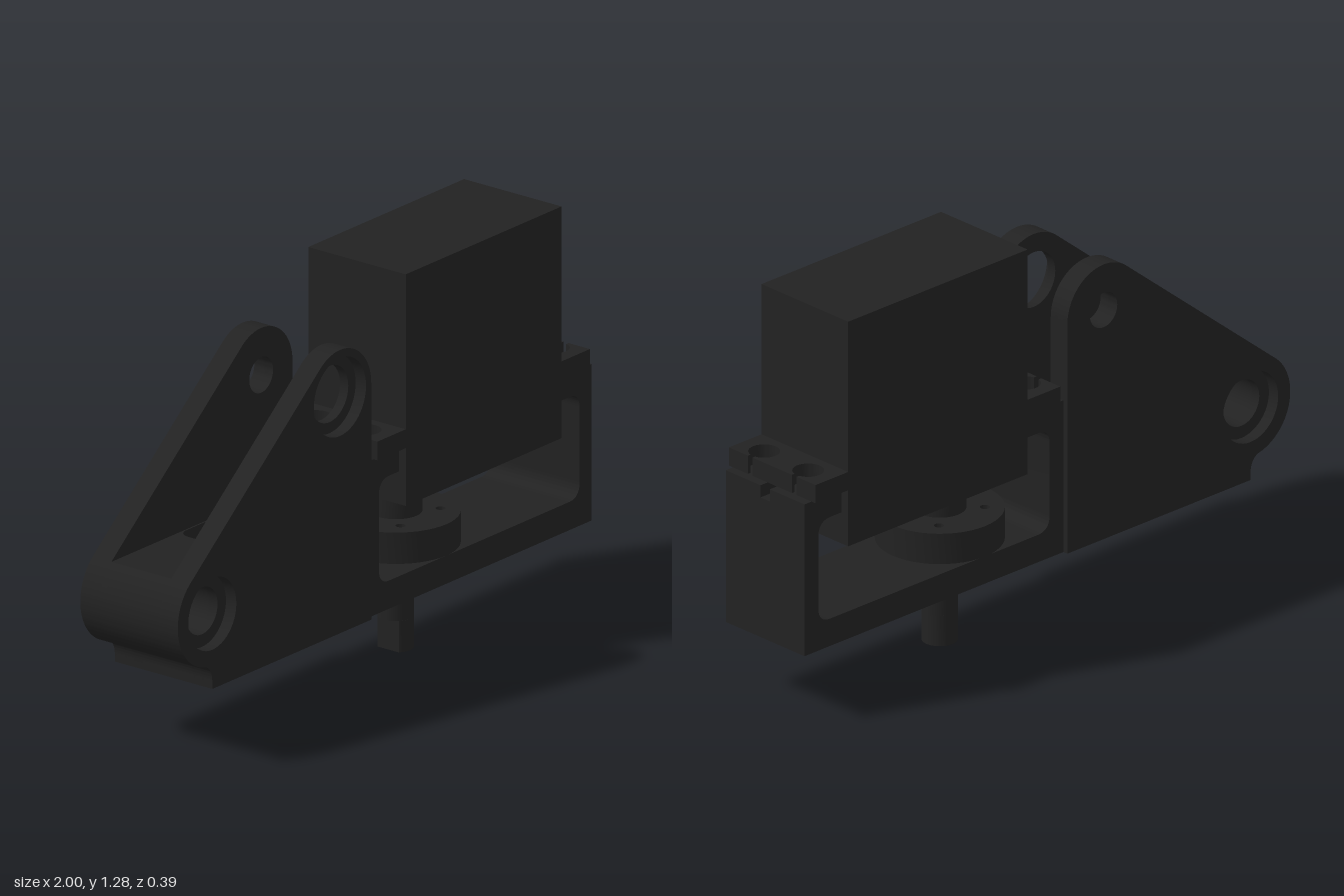
import * as THREE from 'three';
import { toCreasedNormals } from 'three/addons/utils/BufferGeometryUtils.js';

const material = new THREE.MeshStandardMaterial({ color: 0x222222 });

function add(parent, name, geometry) {
  const mesh = new THREE.Mesh(toCreasedNormals(geometry, 0.5), material);
  mesh.name = name;
  parent.add(mesh);
  return mesh;
}

// Extrusion of an x-y shape from z0 to z1
function alongZ(shape, z0, z1) {
  return new THREE.ExtrudeGeometry(shape, { depth: z1 - z0, bevelEnabled: false, curveSegments: 24 })
    .translate(0, 0, z0);
}

// Extrusion of a plan shape (x, -z) from y0 to y1
function alongY(shape, y0, y1) {
  return new THREE.ExtrudeGeometry(shape, { depth: y1 - y0, bevelEnabled: false, curveSegments: 24 })
    .rotateX(-Math.PI / 2).translate(0, y0, 0);
}

function box(x0, x1, y0, y1, z0, z1) {
  return new THREE.BoxGeometry(x1 - x0, y1 - y0, z1 - z0)
    .translate((x0 + x1) / 2, (y0 + y1) / 2, (z0 + z1) / 2);
}

function rect(x0, x1, y0, y1) {
  return new THREE.Shape([[x0, y0], [x1, y0], [x1, y1], [x0, y1]].map(p => new THREE.Vector2(...p)));
}

function roundedPath(x0, x1, y0, y1, r) {
  return new THREE.Path()
    .absarc(x1 - r, y1 - r, r, 0, Math.PI / 2)
    .absarc(x0 + r, y1 - r, r, Math.PI / 2, Math.PI)
    .absarc(x0 + r, y0 + r, r, Math.PI, Math.PI * 1.5)
    .absarc(x1 - r, y0 + r, r, Math.PI * 1.5, Math.PI * 2);
}

function hole(shape, x, y, r) {
  shape.holes.push(new THREE.Path().absarc(x, y, r, 0, Math.PI * 2));
  return shape;
}

const LOW = [-0.835, 0.47], HIGH = [-0.225, 0.985];
const TANGENT = 2.27, TAIL = 4.43;

// Lower boss arc and the small concave foot below it
function finishBoss(shape) {
  shape.absarc(...LOW, 0.165, TANGENT, TAIL);
  shape.quadraticCurveTo(-0.835, 0.305, -0.835, 0.25);
  shape.lineTo(-0.835, 0.23);
  return shape;
}

function plateShape(lowRadius, highRadius) {
  const s = new THREE.Shape();
  s.moveTo(-0.835, 0.23);
  s.lineTo(-0.075, 0.23);
  s.lineTo(-0.075, 0.985);
  s.absarc(...HIGH, 0.15, 0, TANGENT);
  finishBoss(s);
  hole(s, ...LOW, lowRadius);
  return hole(s, ...HIGH, highRadius);
}

function createBracket() {
  const g = new THREE.Group();
  g.name = 'bracket';
  // Two cheek plates, each in two layers for the counterbores
  add(g, 'frontPlateInner', alongZ(plateShape(0.075, 0.09), 0.115, 0.147));
  add(g, 'frontPlateOuter', alongZ(plateShape(0.115, 0.125), 0.147, 0.187));
  add(g, 'backPlateInner', alongZ(plateShape(0.075, 0.057), -0.147, -0.115));
  add(g, 'backPlateOuter', alongZ(plateShape(0.115, 0.057), -0.187, -0.147));
  // Solid boss between the plates
  const boss = new THREE.Shape();
  boss.moveTo(-0.835, 0.23);
  boss.lineTo(-0.66, 0.23);
  boss.lineTo(-0.66, 0.596);
  finishBoss(boss);
  add(g, 'bossCore', alongZ(hole(boss, ...LOW, 0.075), -0.115, 0.115));
  // Core floor with its pocket, and a screw hole underneath
  add(g, 'coreBase', alongY(hole(rect(-0.66, -0.075, -0.115, 0.115), -0.32, 0, 0.025), 0.23, 0.33));
  const upper = rect(-0.66, -0.075, -0.115, 0.115);
  upper.holes.push(roundedPath(-0.63, -0.445, -0.11, 0.11, 0.04));
  add(g, 'corePocket', alongY(upper, 0.33, 0.596));
  return g;
}

function createFrame() {
  const g = new THREE.Group();
  g.name = 'motorFrame';
  const c = 0.4625, h = 0.5375, w = 0.17;
  add(g, 'frameBase', alongY(hole(rect(c - h, c + h, -w, w), 0.275, 0, 0.075), 0.23, 0.32));
  for (const side of [-1, 1]) {
    const X = d => c + side * d;
    // End wall with filleted window corners and an inward lip
    const s = new THREE.Shape();
    s.moveTo(X(h), 0.32);
    s.lineTo(X(h), 0.69);
    s.lineTo(X(0.383), 0.69);
    s.lineTo(X(0.383), 0.655);
    s.lineTo(X(0.43), 0.655);
    s.quadraticCurveTo(X(0.48), 0.655, X(0.48), 0.605);
    s.lineTo(X(0.48), 0.37);
    s.quadraticCurveTo(X(0.48), 0.32, X(0.43), 0.32);
    add(g, 'endWall', alongZ(s, -w, w));
    // Lip tops, split by a central groove
    const xs = [X(0.383), X(h)].sort((a, b) => a - b);
    for (const z of [-1, 1]) {
      const zs = [z * 0.02, z * w].sort((a, b) => a - b);
      add(g, 'lipTop', alongY(hole(rect(...xs, ...zs), X(0.45), z * 0.095, 0.025), 0.69, 0.73));
    }
  }
  return g;
}

function createMotor() {
  const g = new THREE.Group();
  g.name = 'motor';
  add(g, 'motorBody', box(0.09, 0.835, 0.545, 1.285, -0.187, 0.187));
  for (const side of [-1, 1]) {
    const X = d => 0.4625 + side * d;
    // Mounting ear with two keyhole slots open to the outer edge
    const s = new THREE.Shape();
    s.moveTo(X(0.372), -0.187);
    s.lineTo(X(0.508), -0.187);
    for (const z of [-0.095, 0.095]) {
      s.lineTo(X(0.508), z - 0.01);
      for (let i = 0; i <= 32; i++) {
        const a = -0.2 - i / 32 * (Math.PI * 2 - 0.4);
        s.lineTo(X(0.45 + 0.048 * Math.cos(a)), z + 0.048 * Math.sin(a));
      }
      s.lineTo(X(0.508), z + 0.01);
    }
    s.lineTo(X(0.508), 0.187);
    s.lineTo(X(0.372), 0.187);
    add(g, 'mountingEar', alongY(s, 0.73, 0.79));
  }
  return g;
}

function createShaft() {
  const g = new THREE.Group();
  g.name = 'driveShaft';
  const rod = (name, r0, r1, y0, y1) =>
    add(g, name, new THREE.CylinderGeometry(r1, r0, y1 - y0, 40).translate(0, (y0 + y1) / 2, 0));
  rod('shaft', 0.055, 0.055, 0.1, 0.55);
  rod('collar', 0.08, 0.08, 0.435, 0.495);
  rod('lowerCollar', 0.075, 0.075, 0.315, 0.335);
  // Horn disc with four small screw holes
  const disc = new THREE.Shape().absarc(0, 0, 0.195, 0, Math.PI * 2);
  for (let i = 0; i < 4; i++) {
    const a = Math.PI / 4 + i * Math.PI / 2;
    hole(disc, 0.135 * Math.cos(a), 0.135 * Math.sin(a), 0.015);
  }
  add(g, 'hornDisc', alongY(disc, 0.335, 0.435));
  // Flattened shaft tip
  const flat = new THREE.Shape().absarc(0, 0, 0.055, -2.3, 2.3);
  add(g, 'shaftTip', alongY(flat, 0, 0.1));
  g.position.x = 0.275;
  return g;
}

export function createModel() {
  const model = new THREE.Group();
  model.name = 'motorBracketAssembly';
  model.add(createBracket(), createFrame(), createMotor(), createShaft());
  return model;
}
